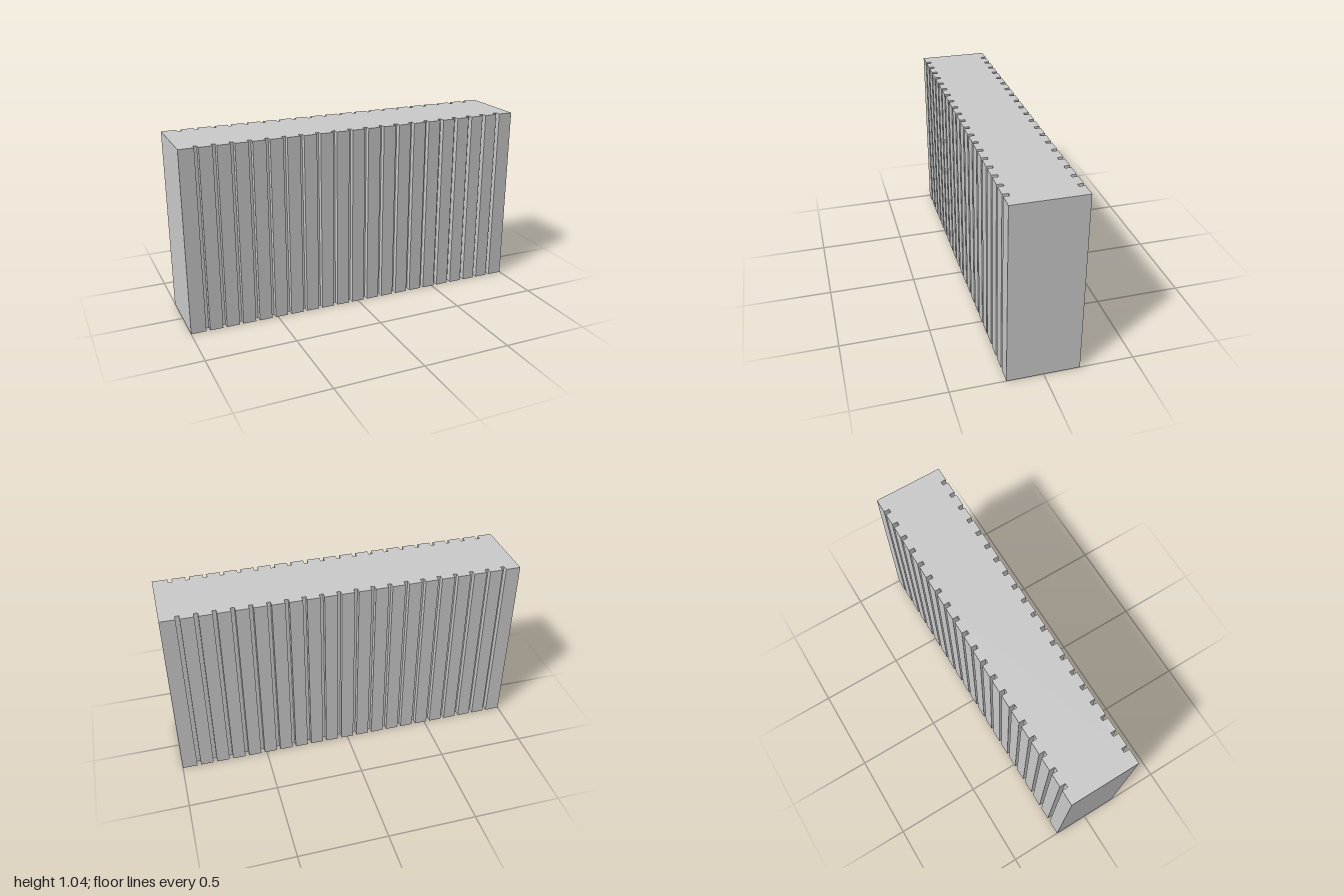
import * as THREE from 'three';

const WIDTH = 2, HEIGHT = 1.04, DEPTH = 0.4;
const SLATS = 21, GROOVE_WIDTH = 0.022, GROOVE_DEPTH = 0.032;

// Plan outline: a rectangle with evenly spaced grooves on both long sides
function groovedOutline() {
  const side = [];
  const z = DEPTH / 2, g = GROOVE_WIDTH / 2;
  side.push([-WIDTH / 2, -z]);
  for (let i = 1; i < SLATS; i++) {
    const x = -WIDTH / 2 + (i * WIDTH) / SLATS;
    side.push([x - g, -z], [x - g, -z + GROOVE_DEPTH], [x + g, -z + GROOVE_DEPTH], [x + g, -z]);
  }
  side.push([WIDTH / 2, -z]);
  // The opposite side is the same run turned half way round
  const points = [...side, ...side.map(([x, y]) => [-x, -y])];
  return new THREE.Shape(points.map(([x, y]) => new THREE.Vector2(x, y)));
}

export function createModel() {
  const group = new THREE.Group();
  group.name = 'groovedBlock';

  // Solid block with vertical grooves on the front and back
  const geometry = new THREE.ExtrudeGeometry(groovedOutline(), { depth: HEIGHT, bevelEnabled: false });
  geometry.rotateX(-Math.PI / 2);
  const block = new THREE.Mesh(
    geometry,
    new THREE.MeshStandardMaterial({ color: 0xcccccc, flatShading: true })
  );
  block.name = 'slattedBody';
  group.add(block);
  return group;
}
